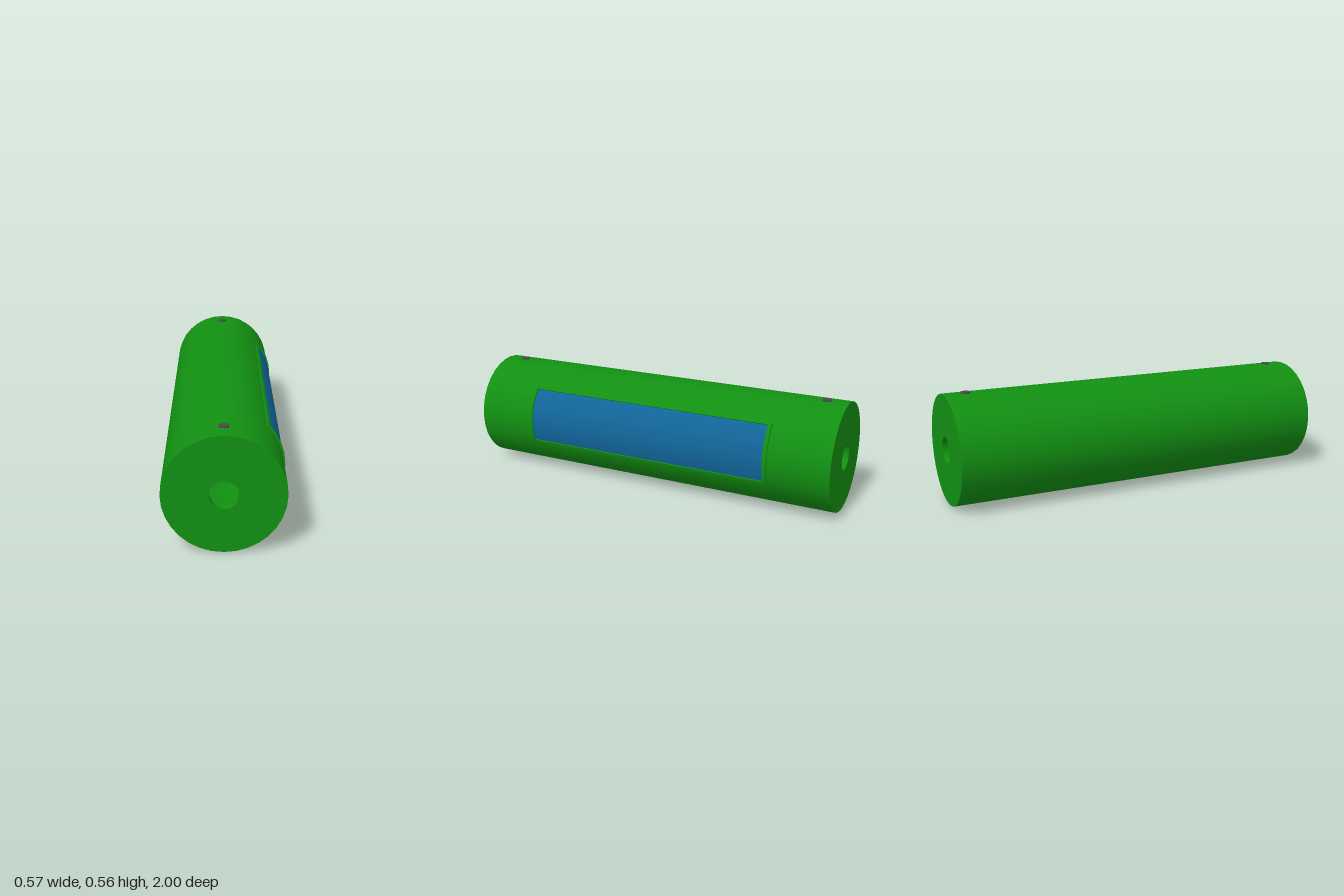
import * as THREE from 'three';
import { toCreasedNormals } from 'three/addons/utils/BufferGeometryUtils.js';

const RADIUS = 0.28, CENTRE_Y = 0.281, CENTRE_X = -0.005, STEP = 11.25;
const green = new THREE.MeshStandardMaterial({ color: 0x129012 });
const blue = new THREE.MeshStandardMaterial({ color: 0x11669a });
const dark = new THREE.MeshStandardMaterial({ color: 0x4a4a4a });

function addMesh(parent, name, geometry, material) {
  const mesh = new THREE.Mesh(geometry, material);
  mesh.name = name;
  parent.add(mesh);
  return mesh;
}

// Curved slab on the tube: angles in degrees from +x, facets aligned with the body
function arcSlab(from, to, inner, outer, z0, z1, taperFrom = 0, taperTo = 0) {
  const angles = [from];
  if (taperFrom) angles.push(from + 3.4);
  for (let a = -90; a <= 90; a += STEP) {
    if (a > from + (taperFrom ? 3.4 : 0) && a < to - (taperTo ? 3.3 : 0)) angles.push(a);
  }
  if (taperTo) angles.push(to - 3.3);
  angles.push(to);
  const point = (r, deg) => {
    const a = THREE.MathUtils.degToRad(deg);
    return new THREE.Vector2(r * Math.cos(a), r * Math.sin(a));
  };
  const last = angles.length - 1;
  const outside = angles.map((a, i) =>
    point(outer - (i === 0 ? taperFrom : 0) - (i === last ? taperTo : 0), a));
  const inside = angles.map((a) => point(inner, a)).reverse();
  const geometry = new THREE.ExtrudeGeometry(new THREE.Shape([...outside, ...inside]),
    { depth: z1 - z0, bevelEnabled: false, steps: 1 });
  geometry.translate(0, 0, z0);
  return toCreasedNormals(geometry, Math.PI / 6);
}

export function createModel() {
  const model = new THREE.Group();
  model.name = 'tube';
  const core = new THREE.Group();
  core.name = 'tubeAssembly';
  core.position.set(CENTRE_X, CENTRE_Y, 0);
  model.add(core);

  // Hollow body with a round hole through each end wall
  const hole = 0.067, cavity = 0.25, wall = 0.965;
  const profile = [
    [hole, -1], [RADIUS, -1], [RADIUS, 1], [hole, 1],
    [hole, wall], [cavity, wall], [cavity, -wall], [hole, -wall], [hole, -1],
  ].map(([r, y]) => new THREE.Vector2(r, y));
  const body = new THREE.LatheGeometry(profile, 32);
  body.rotateX(Math.PI / 2);
  addMesh(core, 'body', toCreasedNormals(body, Math.PI / 5), green);

  // Curved side panel
  addMesh(core, 'sidePanel', arcSlab(-18.3, 40.7, 0.27, 0.2825, -0.665, 0.665), blue);

  // Raised frame around the panel
  const frame = new THREE.Group();
  frame.name = 'panelFrame';
  core.add(frame);
  addMesh(frame, 'frameTopRail', arcSlab(40.7, 44, 0.27, 0.288, -0.665, 0.665), green);
  addMesh(frame, 'frameBottomRail', arcSlab(-21.7, -18.3, 0.27, 0.288, -0.665, 0.665), green);
  for (const [name, z0] of [['frameFrontEnd', 0.665], ['frameBackEnd', -0.685]]) {
    addMesh(frame, name, arcSlab(-21.7, 44, 0.27, 0.2895, z0, z0 + 0.02, 0.002, 0.002), green);
  }

  // Small studs on top near each end
  for (const [name, z] of [['frontStud', 0.89], ['backStud', -0.89]]) {
    const stud = addMesh(core, name, new THREE.CylinderGeometry(0.023, 0.023, 0.02, 24), dark);
    stud.position.set(0, 0.275, z);
  }
  return model;
}
